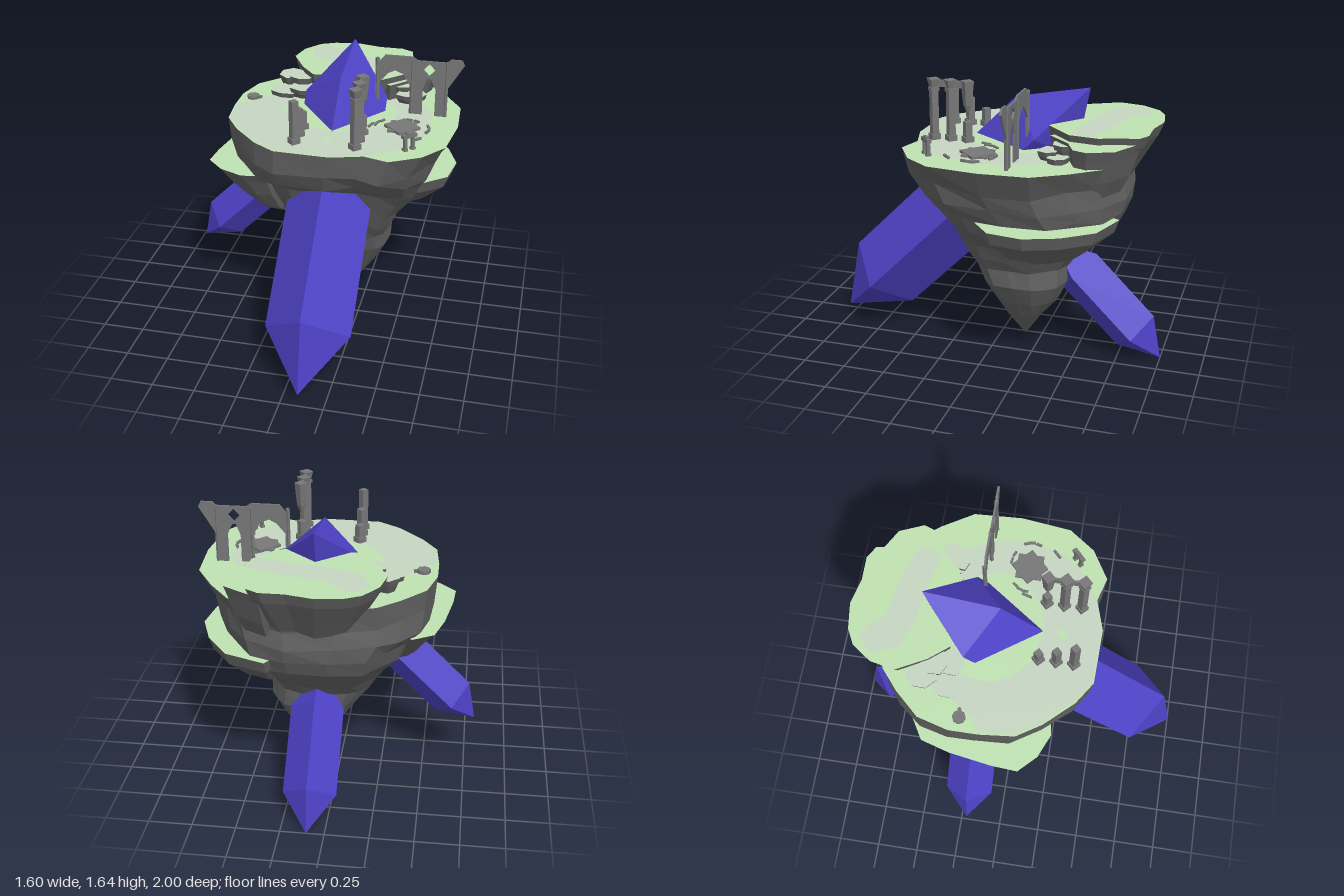
import * as THREE from 'three';

const mat = (name, color, side = THREE.FrontSide) => {
  const m = new THREE.MeshStandardMaterial({ color, side });
  m.name = name;
  return m;
};

let seed = 7;
const rand = () => (seed = (seed * 16807) % 2147483647) / 2147483647;

// Gives every triangle its own flat normal
function facet(geo) {
  const g = geo.index ? geo.toNonIndexed() : geo;
  g.computeVertexNormals();
  return g;
}

// Joins rings of [x, y, z] points listed from top to bottom, each counter-clockwise from above
function loft(rings) {
  const pos = [];
  for (let i = 0; i < rings.length - 1; i++) {
    const up = rings[i], low = rings[i + 1], n = up.length;
    for (let j = 0; j < n; j++) {
      const k = (j + 1) % n;
      pos.push(...up[j], ...low[j], ...low[k], ...up[j], ...low[k], ...up[k]);
    }
  }
  const g = new THREE.BufferGeometry();
  g.setAttribute('position', new THREE.Float32BufferAttribute(pos, 3));
  return facet(g);
}

// Flat horizontal sheet from [x, z] points
function sheet(points, y) {
  const g = new THREE.ShapeGeometry(new THREE.Shape(points.map(([x, z]) => new THREE.Vector2(x, -z))));
  return g.rotateX(-Math.PI / 2).translate(0, y, 0);
}

// Irregular round outline
const blob = (cx, cz, rx, rz, n, rough) => Array.from({ length: n }, (_, i) => {
  const a = (i / n) * Math.PI * 2, r = 1 + (rand() - 0.5) * rough;
  return [cx + Math.cos(a) * rx * r, cz - Math.sin(a) * rz * r];
});

export function createModel() {
  const root = new THREE.Group();
  root.name = 'floatingIsland';
  const rock = mat('dark rock', 0x626262);
  const grass = mat('grass green', 0xbfe2b1, THREE.DoubleSide);
  const path = mat('pale path', 0xc6d5c2, THREE.DoubleSide);
  const crystal = mat('violet crystal', 0x4d41c5);
  const stone = mat('ruin stone', 0x777777);

  const add = (name, geo, material, parent = root) => {
    const m = new THREE.Mesh(geo, material);
    m.name = name;
    parent.add(m);
    return m;
  };

  // Main island body: the top outline is refitted to the bounds of each level
  const top = [[-0.55, -0.13], [-0.53, 0.07], [-0.44, 0.21], [-0.29, 0.37], [-0.16, 0.455], [0.16, 0.465],
    [0.34, 0.41], [0.48, 0.45], [0.65, 0.35], [0.76, 0.2], [0.795, -0.09], [0.78, -0.37], [0.67, -0.55],
    [0.55, -0.7], [0.3, -0.79], [0, -0.8], [-0.25, -0.72], [-0.37, -0.62], [-0.5, -0.48], [-0.55, -0.3]];
  const levels = [ // y, xMin, xMax, zMin, zMax, roughness
    [1.285, -0.55, 0.795, -0.8, 0.465, 0], [1.14, -0.535, 0.71, -0.77, 0.445, 1],
    [1.03, -0.52, 0.68, -0.79, 0.39, 1], [0.95, -0.43, 0.64, -0.78, 0.28, 1], [0.85, -0.39, 0.59, -0.74, 0.23, 0.6],
    [0.74, -0.29, 0.5, -0.62, 0.19, 0.5], [0.65, -0.25, 0.45, -0.52, 0.145, 0.5], [0.57, -0.2, 0.41, -0.46, 0.1, 0.4],
    [0.47, -0.13, 0.41, -0.45, 0.045, 0.4], [0.34, -0.04, 0.34, -0.39, -0.025, 0.3],
    [0.23, 0.02, 0.27, -0.3, -0.085, 0.3], [0.06, 0.14, 0.14, -0.18, -0.18, 0]];
  const jitter = amount => (rand() - 0.5) * amount;
  const body = levels.map(([y, x0, x1, z0, z1, w]) => top.map(([x, z]) => [
    x0 + (x1 - x0) * (x + 0.55) / 1.345 + jitter(0.012 * w), y + jitter(0.045 * w),
    z0 + (z1 - z0) * (z + 0.8) / 1.265 + jitter(0.012 * w)]));
  add('islandRock', loft(body), rock);
  add('islandGrass', sheet(top, 1.285), grass);

  // Ledge: flat top with rock tapering towards a centre; steps are [y, scale]
  const ledge = (name, outline, cx, cz, steps, capMat = grass) => {
    const g = new THREE.Group();
    g.name = name;
    root.add(g);
    const rings = steps.map(([y, s]) => outline.map(([x, z]) => [cx + (x - cx) * s, y, cz + (z - cz) * s]));
    add(name + 'Rock', loft(rings), rock, g);
    add(name + 'Top', sheet(outline, steps[0][0]), capMat, g);
  };
  ledge('rightLedge', [[-0.6, -0.3], [-0.64, -0.05], [-0.65, 0.1], [-0.55, 0.2], [-0.41, 0.26], [-0.28, 0.24],
    [-0.15, 0], [-0.25, -0.4], [-0.43, -0.54], [-0.55, -0.47]], -0.2, -0.08,
    [[1.01, 1], [0.95, 0.88], [0.835, 0.69], [0.71, 0.42], [0.64, 0.1]]);
  ledge('leftLedge', [[0.42, 0.02], [0.62, -0.02], [0.75, -0.13], [0.78, -0.33], [0.71, -0.52], [0.58, -0.69],
    [0.35, -0.77], [0.2, -0.5]], 0.35, -0.33, [[0.94, 1], [0.865, 0.94], [0.74, 0.62], [0.68, 0.33]]);

  // Raised plateau at the back with a lower shoulder beside it
  ledge('backPlateau', [[-0.3, -0.63], [-0.21, -0.46], [-0.12, -0.35], [0.1, -0.37], [0.3, -0.35], [0.45, -0.5],
    [0.47, -0.66], [0.43, -0.77], [0.41, -0.87], [0.34, -0.91], [0.2, -0.91], [0.05, -0.945], [-0.1, -0.925],
    [-0.19, -0.88], [-0.27, -0.77]], 0.1, -0.5, [[1.43, 1], [1.36, 0.94], [1.24, 0.78], [1.1, 0.6]]);
  ledge('plateauShoulder', [[0.2, -0.5], [0.35, -0.37], [0.47, -0.5], [0.58, -0.55], [0.61, -0.63], [0.55, -0.77],
    [0.35, -0.88]], 0.3, -0.55, [[1.39, 1], [1.33, 0.93], [1.2, 0.8], [1.1, 0.65]]);

  // Stepped boulders beside the plateau: x, z, radius, top height
  [[-0.28, -0.49, 0.085, 1.37], [-0.29, -0.35, 0.085, 1.32], [-0.17, -0.34, 0.085, 1.35], [-0.2, -0.42, 0.08, 1.39],
    [0.45, -0.39, 0.06, 1.34], [0.5, -0.45, 0.06, 1.32], [0.41, -0.47, 0.075, 1.37]].forEach(([x, z, r, y]) =>
    ledge('boulder', blob(x, z, r, r, 7, 0.3), x, z, [[y, 1], [y - 0.03, 0.9], [1.28, 0.6]], path));

  // Worn ground and grass patches
  add('wornGround', sheet([[-0.54, -0.12], [-0.52, 0.07], [-0.435, 0.2], [-0.285, 0.36], [-0.16, 0.447], [0.16, 0.457],
    [0.34, 0.403], [0.47, 0.33], [0.6, 0.18], [0.64, -0.02], [0.63, -0.2], [0.55, -0.38], [0.4, -0.42],
    [-0.2, -0.42], [-0.36, -0.33], [-0.45, -0.2]], 1.288), path);
  add('crystalGrass', sheet(blob(0.09, -0.16, 0.34, 0.29, 24, 0.06), 1.291), grass);
  add('grassTuft', sheet(blob(0.1, 0.24, 0.03, 0.03, 10, 0.2), 1.291), grass);
  add('plateauPath', sheet([[-0.22, -0.78], [-0.17, -0.63], [0, -0.57], [0.25, -0.53], [0.42, -0.49], [0.46, -0.62],
    [0.3, -0.68], [0, -0.74], [-0.06, -0.82], [-0.14, -0.85]], 1.433), path);

  // Square crystals with pointed ends, laid along a diagonal
  const addCrystal = (name, tip, dir, r, point, shaft) => {
    const pts = [[0, 0], [r, point], [r, point + shaft], [0, 2 * point + shaft]];
    const g = new THREE.LatheGeometry(pts.map(p => new THREE.Vector2(...p)), 4);
    const m = add(name, facet(g), crystal);
    m.position.set(...tip);
    m.quaternion.setFromUnitVectors(new THREE.Vector3(0, 1, 0), new THREE.Vector3(...dir).normalize());
  };
  addCrystal('greatCrystal', [0.103, 0.075, 1], [0, 1, -1], 0.247, 0.36, 1.45);
  addCrystal('backCrystal', [0.103, 0, -1], [0, 1, 1], 0.152, 0.222, 0.5);
  addCrystal('rightCrystal', [-0.8, 0.32, -0.195], [1, 1, 0], 0.138, 0.195, 0.45);

  // Ruined columns, diamond-shaped in plan
  const ground = 1.285;
  const prism = (parent, name, x, z, r, y0, y1, sides = 4, rTop = r) => add(name,
    facet(new THREE.CylinderGeometry(rTop, r, y1 - y0, sides)), stone, parent).position.set(x, (y0 + y1) / 2, z);
  const column = (x, z, h, capital) => {
    const g = new THREE.Group();
    g.name = 'column';
    root.add(g);
    prism(g, 'columnBase', x, z, 0.038, ground, ground + 0.035);
    prism(g, 'columnShaft', x, z, 0.028, ground, ground + h);
    if (!capital) return;
    prism(g, 'columnCapital', x, z, 0.028, ground + h - 0.045, ground + h, 4, 0.042);
    prism(g, 'columnCollar', x, z, 0.035, ground + h - 0.07, ground + h - 0.05);
  };
  [[0.13, 0.11], [0.23, 0.17], [0.33, 0.255]].forEach(([z, h]) => column(-0.07, z, h, false));
  [0.23, 0.33].forEach(z => column(0.275, z, 0.355, true));
  column(0.275, 0.13, 0.12, false);
  prism(root, 'hangingShaft', 0.275, 0.13, 0.008, 1.46, 1.5, 4, 0.026);
  prism(root, 'hangingCapital', 0.275, 0.13, 0.026, 1.5, 1.64, 4, 0.04);

  const box = (name, w, h, d, x, y, z, ry = 0, parent = root) => {
    const m = add(name, new THREE.BoxGeometry(w, h, d), stone, parent);
    m.position.set(x, y, z);
    m.rotation.y = ry;
  };
  box('columnLintel', 0.014, 0.04, 0.2, 0.275, 1.615, 0.23);

  // Thin arcade wall with pointed openings and a diamond window
  const wall = new THREE.Shape([[0.285, 1.285], [0.31, 1.285], [0.31, 1.47], [0.36, 1.53], [0.4, 1.55], [0.45, 1.53],
    [0.495, 1.45], [0.495, 1.285], [0.565, 1.285], [0.565, 1.45], [0.59, 1.515], [0.61, 1.515], [0.64, 1.45],
    [0.64, 1.285], [0.71, 1.285], [0.71, 1.46], [0.8, 1.61], [0.785, 1.64], [0.72, 1.64], [0.7, 1.62],
    [0.53, 1.62], [0.5, 1.64], [0.34, 1.64], [0.285, 1.57]].map(p => new THREE.Vector2(...p)));
  wall.holes.push(new THREE.Path([[0.6, 1.605], [0.565, 1.567], [0.6, 1.53], [0.635, 1.567]]
    .map(p => new THREE.Vector2(...p))));
  add('arcadeWall', new THREE.ExtrudeGeometry(wall, { depth: 0.012, bevelEnabled: false })
    .translate(0, 0, -0.231), stone);
  [0.295, 0.5, 0.7].forEach(x => prism(root, 'arcadePost', x, -0.225, 0.012, ground, 1.62));

  // Broken star-shaped dais with a ring of fallen blocks
  for (let i = 0; i < 2; i++) box('daisSlab', 0.15, 0.02, 0.15, 0.485, 1.29 + i * 0.004, 0, i * Math.PI / 4);
  [-0.3, 0.05, 0.35, 1.1, 1.4, 2.5, 2.8, 3.1].forEach(a =>
    box('fallenBlock', 0.013, 0.014, 0.035, 0.485 + Math.cos(a) * 0.155, 1.294, -Math.sin(a) * 0.11, a));
  [[0.305, 0.01, -0.3], [0.59, 0.145, -0.8]].forEach(([x, z, turn]) =>
    box('fallenBeam', 0.013, 0.014, 0.06, x, 1.294, z, turn));

  // Small gate at the island edge
  const gate = new THREE.Group();
  gate.name = 'smallGate';
  gate.position.set(0.565, ground, 0.27);
  gate.rotation.y = 0.75;
  root.add(gate);
  [-0.025, 0.025].forEach(x => {
    box('gatePost', 0.016, 0.08, 0.02, x, 0.04, 0, 0, gate);
    box('gateFoot', 0.024, 0.014, 0.028, x, 0.007, 0, 0, gate);
  });
  box('gateBeam', 0.09, 0.02, 0.026, 0, 0.085, 0, 0, gate);
  box('gateCrest', 0.04, 0.012, 0.02, 0, 0.1, 0, 0, gate);

  // Low stone stump
  prism(root, 'stump', -0.47, -0.25, 0.038, 1.28, 1.305, 8);
  prism(root, 'stumpChip', -0.425, -0.255, 0.012, 1.28, 1.3, 5);
  return root;
}
